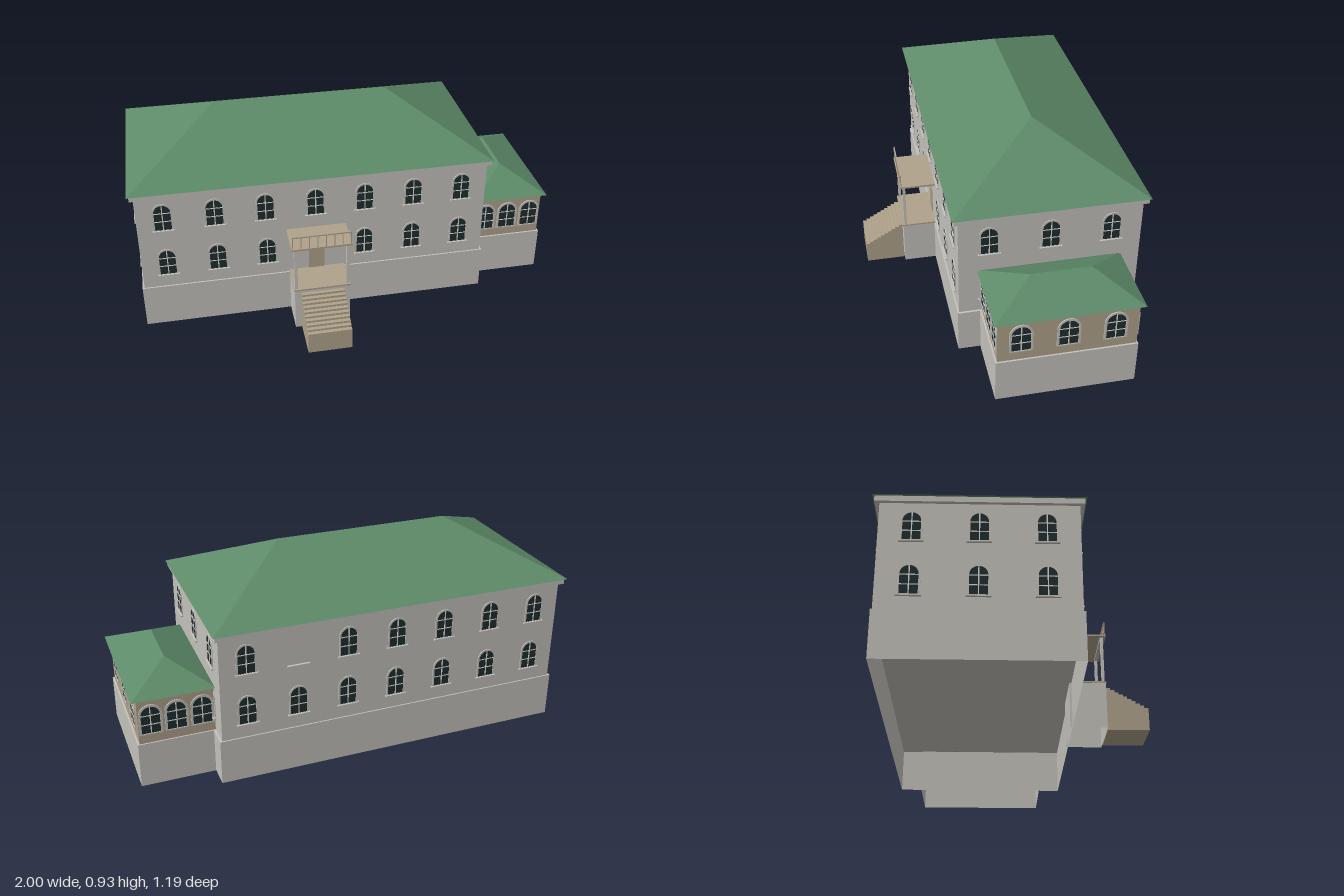
import * as THREE from 'three';
import { mergeGeometries } from 'three/addons/utils/BufferGeometryUtils.js';

const flat = (name, color, extra = {}) => new THREE.MeshStandardMaterial({ name, color, ...extra });

// Round-headed outline standing on y = 0
function archPath(w, h, P = THREE.Shape, y0 = 0) {
  const r = w / 2, s = new P();
  s.moveTo(-r, y0);
  s.lineTo(r, y0);
  s.lineTo(r, h - r);
  s.absarc(0, h - r, r, 0, Math.PI, false);
  s.lineTo(-r, y0);
  return s;
}

const extrude = (shape, depth) =>
  new THREE.ExtrudeGeometry(shape, { depth, bevelEnabled: false, curveSegments: 12 });

const boxGeo = (x0, x1, y0, y1, z0, z1) =>
  new THREE.BoxGeometry(x1 - x0, y1 - y0, z1 - z0)
    .translate((x0 + x1) / 2, (y0 + y1) / 2, (z0 + z1) / 2);

// Hipped roof: eave rectangle rising to a ridge segment, closed underneath
function hipRoof(x0, x1, z0, z1, y0, y1, a, b) {
  const A = [x0, y0, z1], B = [x1, y0, z1], C = [x1, y0, z0], D = [x0, y0, z0];
  const P = [a[0], y1, a[1]], Q = [b[0], y1, b[1]];
  const alongX = a[1] === b[1];
  const faces = alongX
    ? [A, B, Q, A, Q, P, B, C, Q, C, D, P, C, P, Q, D, A, P]
    : [A, B, P, B, C, Q, B, Q, P, C, D, Q, D, A, P, D, P, Q];
  faces.push(A, D, C, A, C, B);
  const g = new THREE.BufferGeometry();
  g.setAttribute('position', new THREE.Float32BufferAttribute(faces.flat(), 3));
  g.computeVertexNormals();
  return g;
}

export function createModel() {
  const model = new THREE.Group();
  model.name = 'villa';

  const stone = flat('stone', 0xc4c2bc);
  const openStone = flat('foundation stone', 0xc4c2bc, { side: THREE.DoubleSide });
  const tan = flat('tan', 0xb0a28b);
  const green = flat('roof green', 0x5d8a68);
  const glass = flat('dark glass', 0x202d2f);
  const white = flat('window white', 0xdcdad4);

  const add = (name, geo, mat, parent = model) => {
    const m = new THREE.Mesh(geo, mat);
    m.name = name;
    parent.add(m);
    return m;
  };
  const box = (name, mat, ...b) => add(name, boxGeo(...b), mat);

  // Foundation block, open at the bottom
  function foundation(name, x0, x1, z0, z1, h) {
    const g = boxGeo(x0, x1, 0, h, z0, z1);
    const idx = Array.from(g.index.array);
    idx.splice(18, 6);
    g.setIndex(idx);
    g.clearGroups();
    add(name, g, openStone);
  }

  // Main building
  const cx = -0.166, cz = -0.162;
  foundation('mainFoundation', -0.984, 0.652, -0.572, 0.25, 0.21);
  box('mainWalls', stone, -0.974, 0.642, 0.21, 0.7, -0.566, 0.243);
  box('cornice', stone, -0.99, 0.658, 0.695, 0.72, -0.586, 0.262);
  add('mainRoof', hipRoof(-1, 0.666, -0.595, 0.27, 0.72, 0.933, [-0.573, cz], [0.241, cz]), green);

  // Side wing
  foundation('wingFoundation', 0.645, 0.984, -0.47, 0.15, 0.21);
  box('wingWalls', tan, 0.64, 0.976, 0.21, 0.427, -0.464, 0.142);
  add('wingRoof', hipRoof(0.63, 1, -0.484, 0.16, 0.426, 0.521, [0.813, -0.03], [0.813, -0.297]), green);

  // Window parts, shared by every window of one kind
  function windowKit(w, h, gw, lift, frameMat, barMat, depth) {
    const gh = h - (w - gw) / 2;
    const frame = archPath(w, h);
    frame.holes.push(archPath(gw, gh, THREE.Path, lift));
    const bars = [boxGeo(-0.0025, 0.0025, lift, gh, 0, 0.004)];
    for (const t of [0.35, 0.68])
      bars.push(boxGeo(-gw / 2, gw / 2, gh * t - 0.002, gh * t + 0.002, 0, 0.0037));
    return {
      frame: extrude(frame, depth), frameMat, barMat,
      pane: extrude(archPath(gw, gh, THREE.Shape, lift), 0.002),
      bars: mergeGeometries(bars),
    };
  }
  const mainKit = windowKit(0.09, 0.138, 0.074, 0.001, stone, white, 0.004);
  const wingKit = windowKit(0.102, 0.144, 0.082, 0.005, stone, white, 0.005);
  const sillGeo = boxGeo(-0.05, 0.05, -0.007, 0, 0, 0.011);

  function place(name, kit, x, y, z, turn, sill = true) {
    const g = new THREE.Group();
    g.name = name;
    g.position.set(x, y, z);
    g.rotation.y = turn;
    if (kit) {
      add('frame', kit.frame, kit.frameMat, g);
      add('pane', kit.pane, glass, g);
      add('glazingBars', kit.bars, kit.barMat, g);
    }
    if (sill) add('sill', sillGeo, stone, g);
    model.add(g);
  }

  // Main windows on two floors
  const H = Math.PI / 2;
  for (const [floor, y] of [['lower', 0.277], ['upper', 0.52]]) {
    for (let i = -3; i <= 3; i++) {
      const x = cx + i * 0.23;
      if (floor === 'upper' || i !== 0) place(floor + 'FrontWindow', mainKit, x, y, 0.243, 0);
      // One rear opening is walled up and keeps only its sill
      const blind = floor === 'upper' && i === 2;
      place(floor + 'BackWindow', blind ? null : mainKit, x, y, -0.566, Math.PI);
    }
    for (let i = -1; i <= 1; i++) {
      place(floor + 'LeftWindow', mainKit, 0.642, y, cz + i * 0.27, H);
      place(floor + 'RightWindow', mainKit, -0.974, y, cz + i * 0.27, -H);
    }
  }

  // Wing windows
  for (let i = -1; i <= 1; i++) {
    place('wingFrontWindow', wingKit, 0.809 + i * 0.112, 0.253, 0.142, 0, false);
    place('wingBackWindow', wingKit, 0.809 + i * 0.112, 0.253, -0.464, Math.PI, false);
    place('wingSideWindow', wingKit, 0.976, 0.255, cz + i * 0.203, H, false);
  }

  // Entrance door
  add('door', extrude(archPath(0.074, 0.16), 0.004), tan).position.set(cx, 0.22, 0.243);

  // Porch with columns and balcony
  foundation('porchFoundation', -0.296, -0.036, 0.24, 0.405, 0.212);
  box('porchFloor', tan, -0.298, -0.034, 0.212, 0.22, 0.24, 0.408);
  box('balconyFloor', tan, -0.306, -0.026, 0.441, 0.45, 0.24, 0.412);
  box('balconyBeam', stone, -0.294, -0.038, 0.433, 0.441, 0.386, 0.4);
  for (const s of [-1, 1]) {
    const x = cx + s * 0.121;
    box('column', stone, x - 0.007, x + 0.007, 0.22, 0.434, 0.387, 0.4);
  }

  // Balcony railing
  box('handrail', tan, -0.302, -0.03, 0.509, 0.515, 0.404, 0.41);
  for (let i = 0; i < 8; i++) {
    const x = -0.3 + i * 0.0383;
    box('baluster', tan, x - 0.002, x + 0.002, 0.45, 0.51, 0.405, 0.409);
  }

  // Solid stair, profile drawn along z and swept across x
  const n = 10, run = 0.186 / n, rise = 0.106 / n;
  const profile = new THREE.Shape();
  profile.moveTo(0.408, 0);
  profile.lineTo(0.594, 0);
  for (let i = 0; i < n; i++) {
    profile.lineTo(0.594 - i * run, 0.106 + i * rise);
    profile.lineTo(0.594 - (i + 1) * run, 0.106 + i * rise);
  }
  const stair = add('stair', extrude(profile, 0.203), tan);
  stair.rotation.y = -H;
  stair.position.x = -0.064;

  return model;
}
